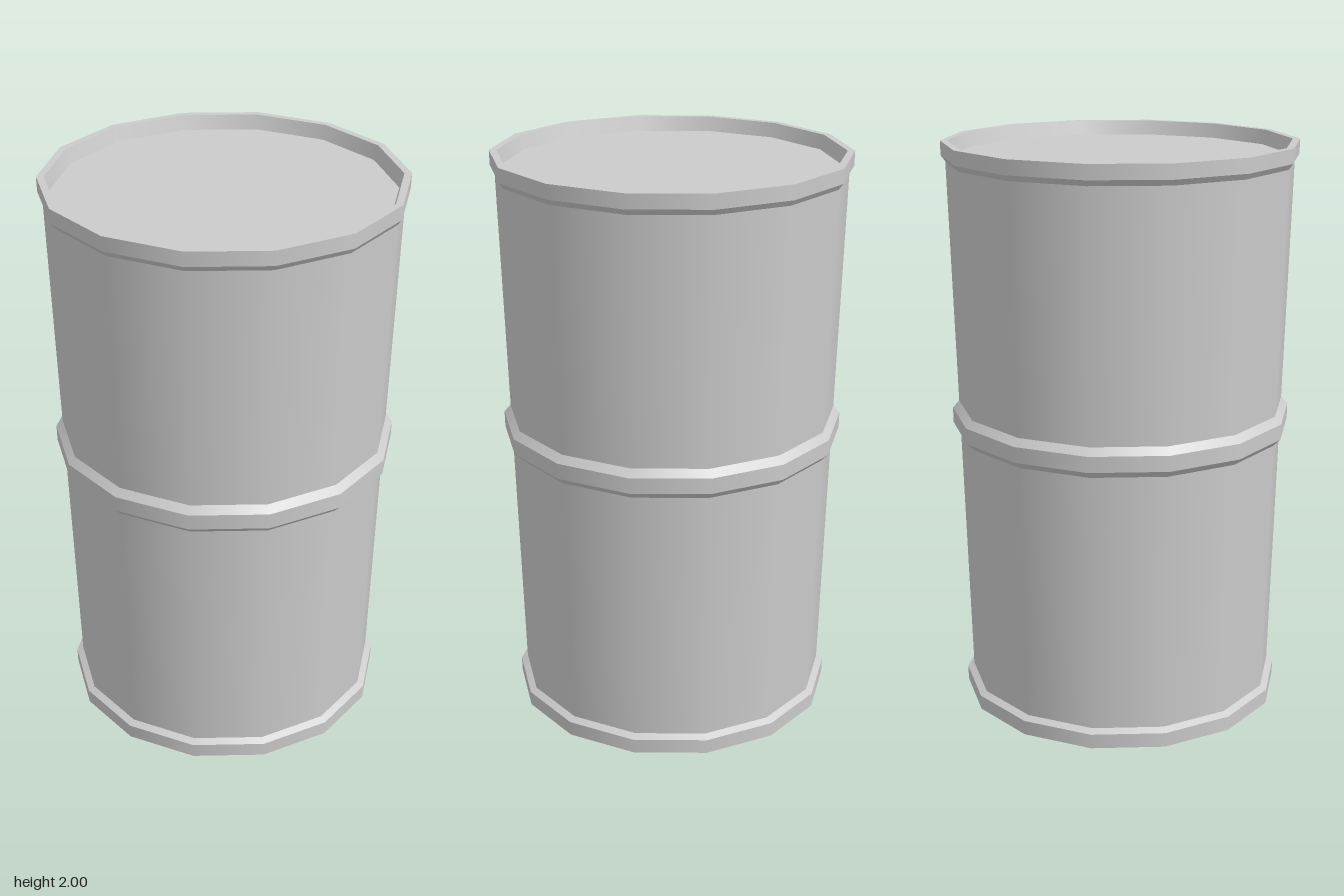
import * as THREE from 'three';
import { mergeGeometries } from 'three/addons/utils/BufferGeometryUtils.js';

const SIDES = 14;
const material = new THREE.MeshStandardMaterial({ color: 0xcccccc });

// Each profile step becomes its own strip: smooth around the drum, sharp between strips.
function ring(name, profile) {
  const strips = [];
  for (let i = 0; i + 1 < profile.length; i++) {
    const pair = [profile[i], profile[i + 1]].map(([r, y]) => new THREE.Vector2(r, y));
    strips.push(new THREE.LatheGeometry(pair, SIDES, Math.PI / 2));
  }
  const mesh = new THREE.Mesh(mergeGeometries(strips), material);
  mesh.name = name;
  return mesh;
}

// Flat end plate, facing up or down
function plate(name, radius, y, up) {
  const geometry = new THREE.CircleGeometry(radius, SIDES);
  geometry.rotateX(up ? -Math.PI / 2 : Math.PI / 2);
  geometry.translate(0, y, 0);
  const mesh = new THREE.Mesh(geometry, material);
  mesh.name = name;
  return mesh;
}

export function createModel() {
  const drum = new THREE.Group();
  drum.name = 'drum';
  drum.add(
    // Recessed base inside the bottom rim
    plate('base', 0.535, 0.04, false),
    ring('bottomRim', [[0.535, 0.04], [0.545, 0], [0.57, 0], [0.571, 0.052], [0.548, 0.065]]),
    // Slightly flared wall, split by the middle hoop
    ring('lowerWall', [[0.548, 0.065], [0.571, 0.98]]),
    ring('middleHoop', [[0.571, 0.98], [0.596, 1.005], [0.597, 1.06], [0.574, 1.085]]),
    ring('upperWall', [[0.574, 1.085], [0.596, 1.93]]),
    // Raised lip around the sunken lid
    ring('topRim', [[0.596, 1.93], [0.611, 1.95], [0.612, 2], [0.587, 2], [0.573, 1.95]]),
    plate('lid', 0.573, 1.95, true)
  );
  return drum;
}
